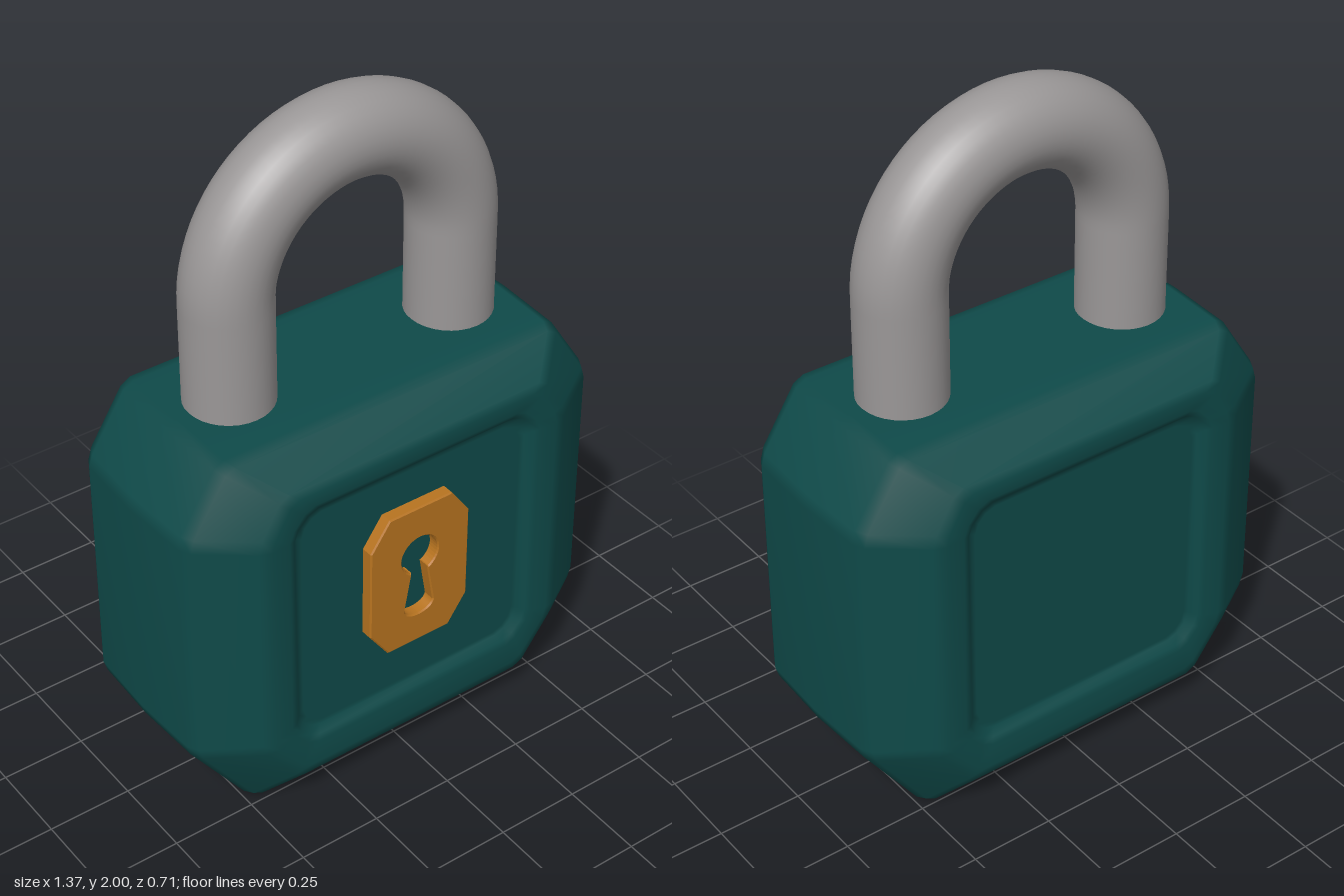
import * as THREE from 'three';

// Octagonal ring of the body: half widths (side, bottom, top) and heights (bottom, low corner, high corner, top)
function ring(z, side, bottom, top, y0, yLow, yHigh, y1) {
  const corners = [
    [-bottom, y0], [bottom, y0], [side, yLow], [side, yHigh],
    [top, y1], [-top, y1], [-side, yHigh], [-side, yLow],
  ].map(([x, y]) => new THREE.Vector3(x, y, z));
  const points = [];
  corners.forEach((c, i) => {
    // cut each corner a little so that the edges look soft
    for (const n of [corners[(i + 7) % 8], corners[(i + 1) % 8]]) {
      const cut = Math.min(0.02, c.distanceTo(n) * 0.25);
      points.push(c.clone().add(n.clone().sub(c).setLength(cut)));
    }
  });
  return points;
}

const blend = (a, b, t) => a.map((p, i) => p.clone().lerp(b[i], t));
const shiftZ = (a, z) => a.map((p) => new THREE.Vector3(p.x, p.y, z));

// Skin a list of rings, ordered back to front, and close both ends
function loft(rings) {
  const n = rings[0].length;
  const positions = [];
  const index = [];
  const add = (p) => positions.push(p.x, p.y, p.z);
  rings.forEach((r) => r.forEach(add));
  for (let k = 0; k < rings.length - 1; k++) {
    for (let i = 0; i < n; i++) {
      const a = k * n + i, b = k * n + ((i + 1) % n);
      index.push(a, b, b + n, a, b + n, a + n);
    }
  }
  const back = rings.length * n, front = back + 1, last = back - n;
  add(new THREE.Vector3(0, 0.63, rings[0][0].z));
  add(new THREE.Vector3(0, 0.63, rings[rings.length - 1][0].z));
  for (let i = 0; i < n; i++) {
    const j = (i + 1) % n;
    index.push(back, j, i, front, last + i, last + j);
  }
  const g = new THREE.BufferGeometry();
  g.setAttribute('position', new THREE.Float32BufferAttribute(positions, 3));
  g.setIndex(index);
  g.computeVertexNormals();
  return g;
}

function bodyGeometry() {
  const middle = ring(0, 0.685, 0.49, 0.55, 0, 0.27, 1.0, 1.205);
  const wide = ring(0.235, 0.675, 0.485, 0.545, 0.002, 0.27, 1.0, 1.2);
  const crest = ring(0.35, 0.49, 0.38, 0.42, 0.125, 0.27, 0.98, 1.105);
  const lip = ring(0.345, 0.405, 0.345, 0.345, 0.235, 0.295, 0.98, 1.04);
  const groove = ring(0.322, 0.38, 0.33, 0.33, 0.255, 0.305, 0.965, 1.015);
  const panel = ring(0.322, 0.365, 0.32, 0.32, 0.27, 0.315, 0.955, 1.0);
  const front = [
    shiftZ(wide, 0.212), blend(wide, crest, 0.1),
    blend(wide, crest, 0.9), blend(crest, lip, 0.2),
    blend(crest, lip, 0.85), blend(lip, groove, 0.2),
    groove, panel,
  ];
  const rear = front.map((r) => r.map((p) => new THREE.Vector3(p.x, p.y, -p.z))).reverse();
  return loft([...rear, middle, ...front]);
}

// Two straight legs joined by a half circle
function shackleGeometry() {
  const r = 0.363, y = 1.51;
  const path = new THREE.CurvePath();
  path.add(new THREE.LineCurve3(new THREE.Vector3(-r, 1.1, 0), new THREE.Vector3(-r, y, 0)));
  const arc = new THREE.Curve();
  arc.getPoint = (t, target = new THREE.Vector3()) =>
    target.set(-r * Math.cos(Math.PI * t), y + r * Math.sin(Math.PI * t), 0);
  path.add(arc);
  path.add(new THREE.LineCurve3(new THREE.Vector3(r, y, 0), new THREE.Vector3(r, 1.1, 0)));
  return new THREE.TubeGeometry(path, 64, 0.126, 32, false);
}

// Chamfered plate with a keyhole cut through it
function plateGeometry() {
  const w = 0.162, y0 = 0.433, y1 = 0.892, cx = 0.06, cy = 0.085;
  const shape = new THREE.Shape([
    [-w + cx, y0], [w - cx, y0], [w, y0 + cy], [w, y1 - cy],
    [w - cx, y1], [-w + cx, y1], [-w, y1 - cy], [-w, y0 + cy],
  ].map(([x, y]) => new THREE.Vector2(x, y)));
  const hole = new THREE.Path();
  hole.moveTo(-0.03, 0.673);
  hole.lineTo(-0.052, 0.55);
  hole.quadraticCurveTo(-0.045, 0.522, 0, 0.52);
  hole.quadraticCurveTo(0.045, 0.522, 0.052, 0.55);
  hole.lineTo(0.03, 0.673);
  hole.absarc(0, 0.73, 0.065, -1.08, Math.PI + 1.08, false);
  shape.holes.push(hole);
  return new THREE.ExtrudeGeometry(shape, {
    depth: 0.032, bevelEnabled: true, bevelThickness: 0.004, bevelSize: 0.004,
    bevelSegments: 1, curveSegments: 16,
  });
}

export function createModel() {
  const teal = new THREE.MeshStandardMaterial({ name: 'teal', color: 0x0f4a49 });
  const steel = new THREE.MeshStandardMaterial({ name: 'steel grey', color: 0x9a9797 });
  const brass = new THREE.MeshStandardMaterial({ name: 'brass orange', color: 0xb87420 });

  const model = new THREE.Group();
  model.name = 'padlock';
  const part = (name, geometry, material, z) => {
    const mesh = new THREE.Mesh(geometry, material);
    mesh.name = name;
    mesh.position.z = z;
    model.add(mesh);
  };
  part('body', bodyGeometry(), teal, -0.005);
  part('shackle', shackleGeometry(), steel, -0.005);
  part('keyholePlate', plateGeometry(), brass, 0.318);
  return model;
}
